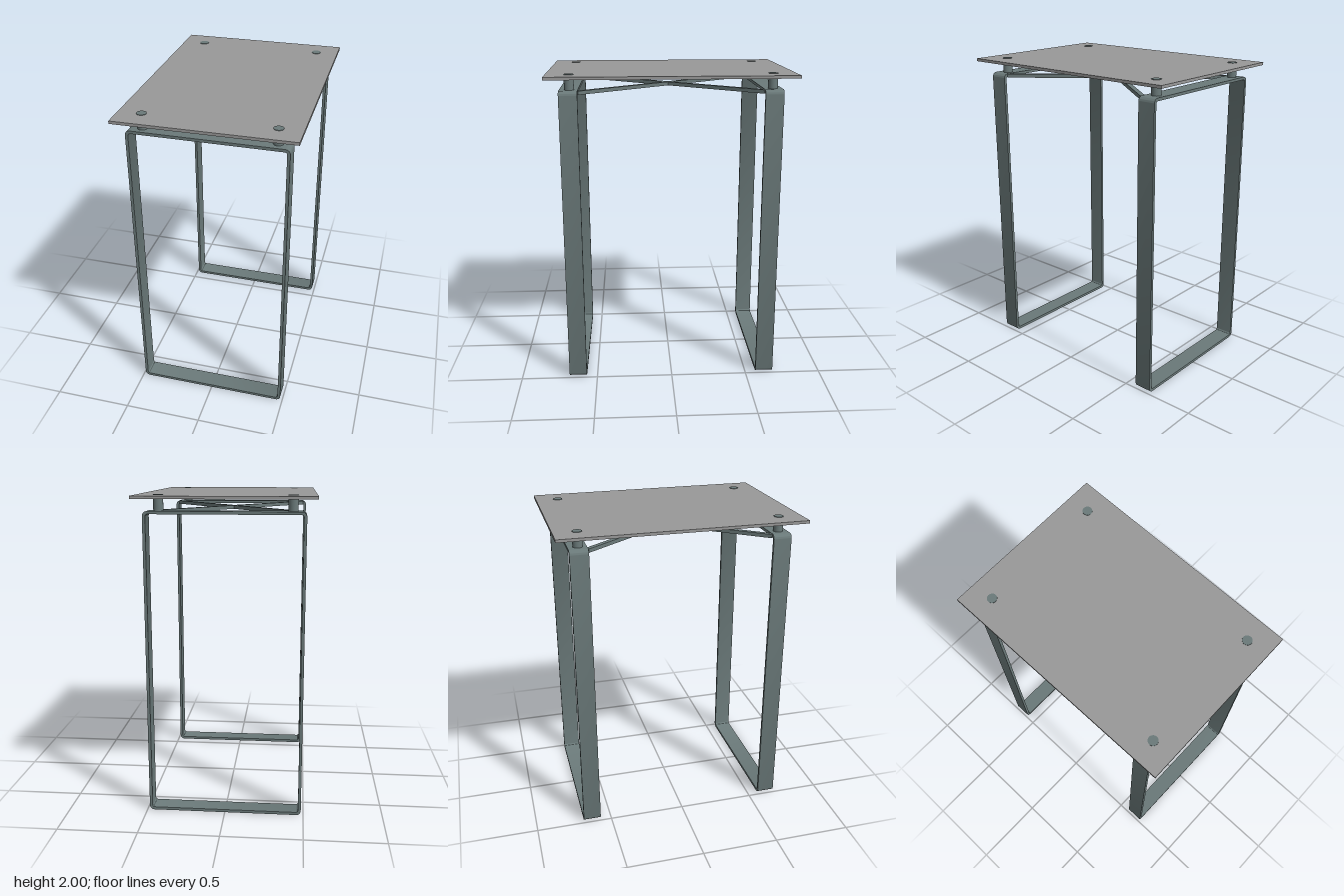
import * as THREE from 'three';
import { toCreasedNormals } from 'three/addons/utils/BufferGeometryUtils.js';

const steel = new THREE.MeshStandardMaterial({ color: 0x6b7a7a });
const slate = new THREE.MeshStandardMaterial({ color: 0x999999 });

function part(name, geometry, material, x = 0, y = 0, z = 0) {
  const mesh = new THREE.Mesh(geometry, material);
  mesh.name = name;
  mesh.position.set(x, y, z);
  return mesh;
}

// Traces a rectangle with rounded corners, standing on y = base
function roundedRect(path, halfW, base, top, r) {
  path.moveTo(halfW - r, base);
  path.absarc(halfW - r, base + r, r, -Math.PI / 2, 0);
  path.absarc(halfW - r, top - r, r, 0, Math.PI / 2);
  path.absarc(-halfW + r, top - r, r, Math.PI / 2, Math.PI);
  path.absarc(-halfW + r, base + r, r, Math.PI, Math.PI * 1.5);
  path.closePath();
  return path;
}

export function createModel() {
  const table = new THREE.Group();
  table.name = 'sideTable';

  // Flat-bar leg loops, front and back
  const height = 1.905, bar = 0.018, depth = 0.115;
  const outline = roundedRect(new THREE.Shape(), 0.485, 0, height, 0.03);
  outline.holes.push(roundedRect(new THREE.Path(), 0.485 - bar, bar, height - bar, 0.015));
  const loop = toCreasedNormals(
    new THREE.ExtrudeGeometry(outline, { depth, bevelEnabled: false, curveSegments: 8 }), 0.6);
  loop.translate(0, 0, -depth / 2);
  table.add(part('frontLegFrame', loop, steel, 0, 0, 0.628));
  table.add(part('backLegFrame', loop, steel, 0, 0, -0.628));

  // Crossed braces joining the loops under the top
  const dx = 0.9, dz = 1.15;
  for (const side of [-1, 1]) {
    const brace = part('crossBrace', new THREE.BoxGeometry(0.03, 0.023, Math.hypot(dx, dz)),
      steel, 0, 1.892, 0);
    brace.rotation.y = side * Math.atan2(dx, dz);
    table.add(brace);
  }

  // Top plate on four round standoffs, turned very slightly
  const top = new THREE.Group();
  top.name = 'tableTop';
  top.rotation.y = 0.006;
  top.add(part('plate', new THREE.BoxGeometry(1.086, 0.018, 1.54), slate, 0, 1.988, 0));
  const post = new THREE.CylinderGeometry(0.03, 0.03, 0.1, 32);
  for (const x of [-0.4, 0.4])
    for (const z of [-0.626, 0.626])
      top.add(part('standoff', post, steel, x, 1.95, z));
  table.add(top);

  return table;
}
